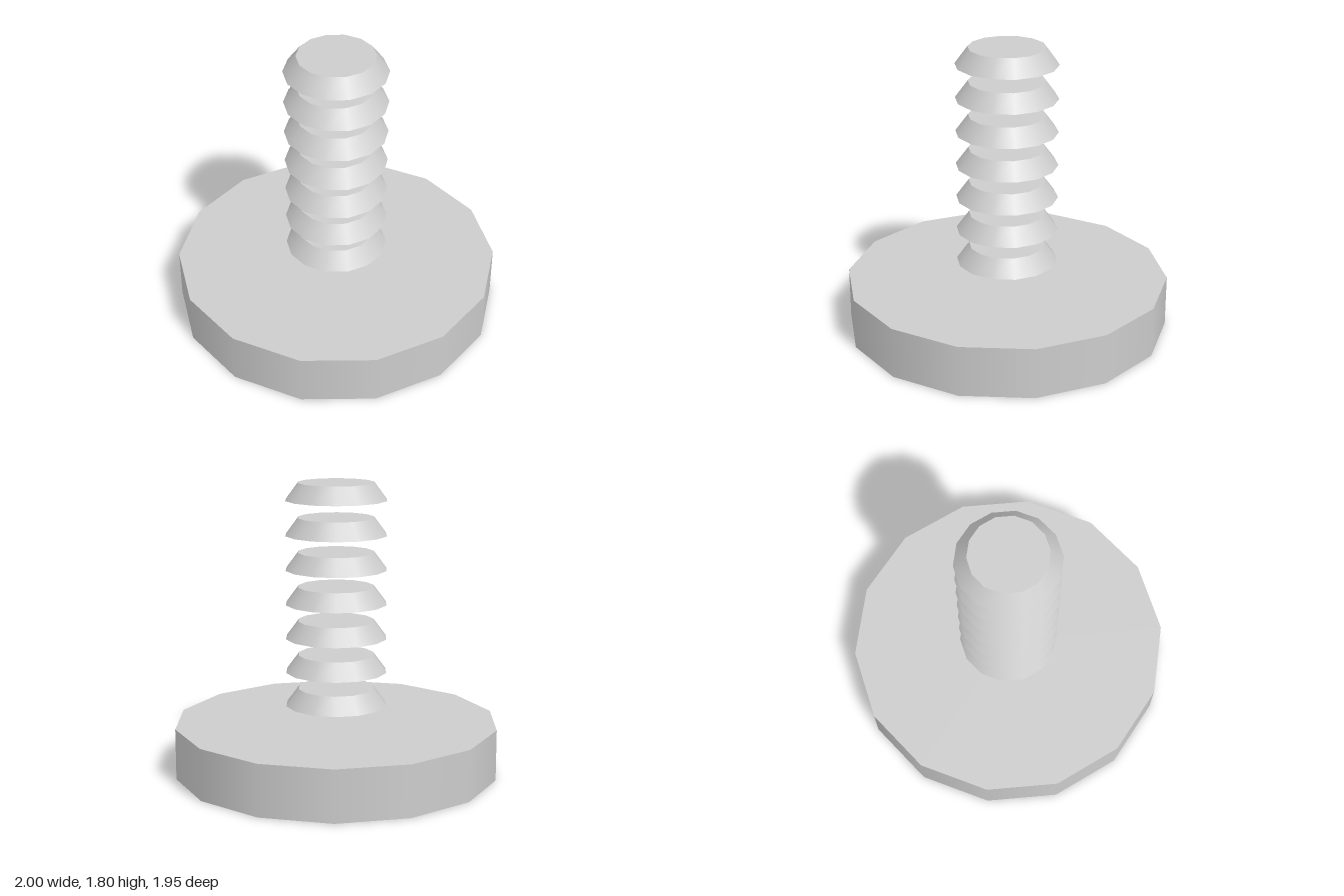
import * as THREE from 'three';

const SIDES = 14;
const UNIT = 0.1056; // thread height; the base is three of these tall

export function createModel() {
  const model = new THREE.Group();
  model.name = 'threadedFoot';
  const grey = new THREE.MeshStandardMaterial({ color: 0xcccccc });
  grey.name = 'light grey';

  // Closed 14-sided disc standing on height y, with a corner on the x axis
  function disc(name, topRadius, bottomRadius, height, y) {
    const geometry = new THREE.CylinderGeometry(
      topRadius, bottomRadius, height, SIDES, 1, false, Math.PI / 2);
    const mesh = new THREE.Mesh(geometry, grey);
    mesh.name = name;
    mesh.position.y = y + height / 2;
    model.add(mesh);
  }

  // Wide round foot
  disc('base', 1, 1, 3 * UNIT, 0);

  // Separate tapered thread rings, one ring height apart
  for (let i = 0; i < 7; i++) {
    disc(`threadRing${i + 1}`, 0.235, 0.313, UNIT, (4 + 2 * i) * UNIT);
  }

  return model;
}
